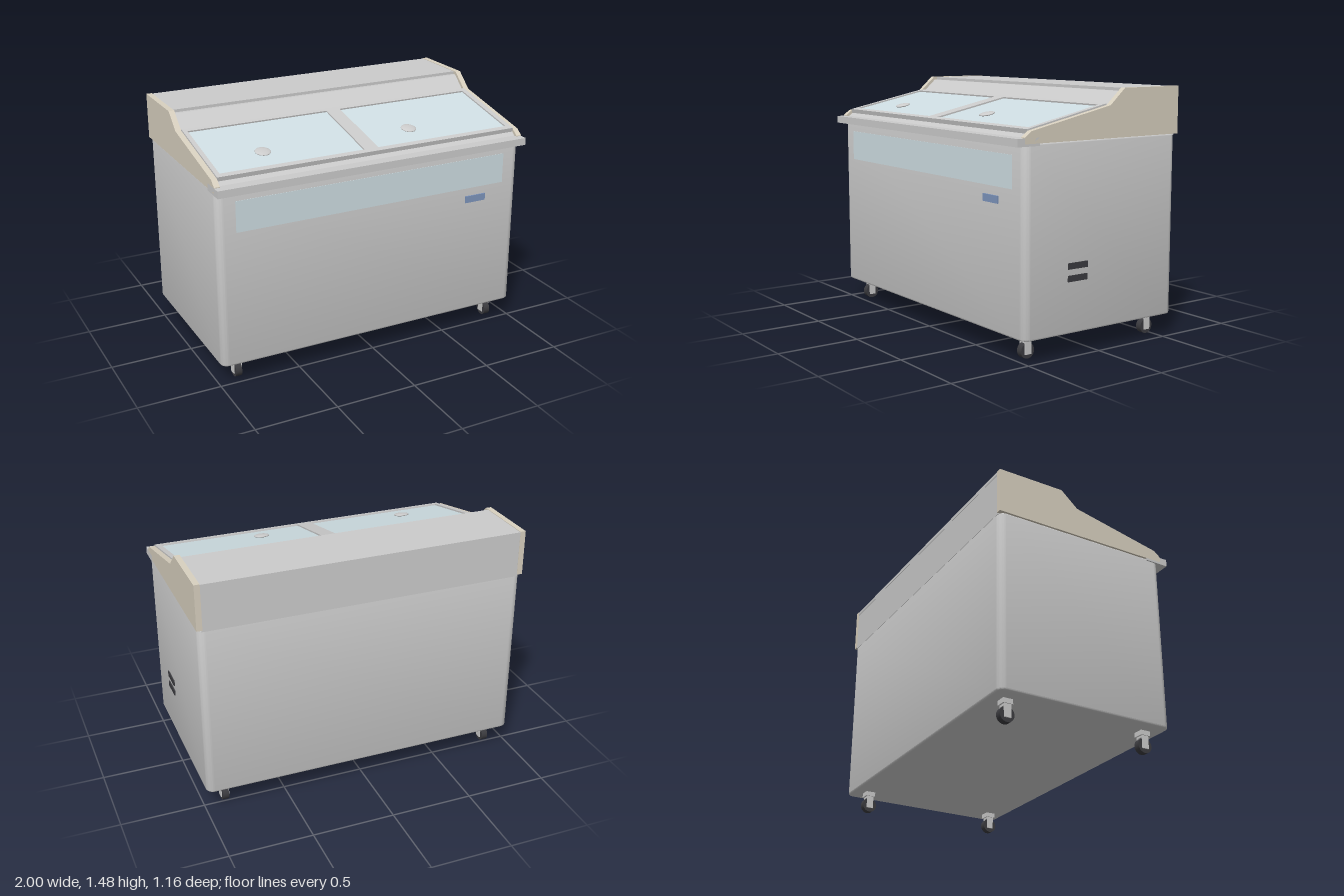
import * as THREE from 'three';
import { toCreasedNormals } from 'three/addons/utils/BufferGeometryUtils.js';

const mat = (color) => new THREE.MeshStandardMaterial({ color });

export function createModel() {
  const model = new THREE.Group();
  const steel = mat(0xcccccc);
  const beige = mat(0xd8d0bf);
  const glass = mat(0xcfdee3);
  const dark = mat(0x3c3c40);
  const blue = mat(0x7d95bd);

  const add = (parent, name, geometry, material, x = 0, y = 0, z = 0) => {
    const mesh = new THREE.Mesh(geometry, material);
    mesh.name = name;
    mesh.position.set(x, y, z);
    parent.add(mesh);
    return mesh;
  };
  // Box given by its ranges
  const box = (parent, name, material, x0, x1, y0, y1, z0, z1) =>
    add(parent, name, new THREE.BoxGeometry(x1 - x0, y1 - y0, z1 - z0), material,
      (x0 + x1) / 2, (y0 + y1) / 2, (z0 + z1) / 2);
  // Side profile of [z, y] points, extruded across x
  const acrossX = (points, width) => {
    const shape = new THREE.Shape(points.map(([z, y]) => new THREE.Vector2(z, y)));
    return new THREE.ExtrudeGeometry(shape, { depth: width, bevelEnabled: false })
      .translate(0, 0, -width / 2).rotateY(-Math.PI / 2);
  };
  const rect = (T, x0, x1, y0, y1) => new T([
    new THREE.Vector2(x0, y0), new THREE.Vector2(x1, y0),
    new THREE.Vector2(x1, y1), new THREE.Vector2(x0, y1)]);

  // Cabinet with rounded upright corners and a bevelled bottom edge
  const bevel = 0.01, w = 0.993 - bevel, d = 0.549 - bevel, r = 0.035;
  const plan = new THREE.Shape();
  plan.absarc(w - r, d - r, r, 0, Math.PI / 2);
  plan.absarc(-w + r, d - r, r, Math.PI / 2, Math.PI);
  plan.absarc(-w + r, -d + r, r, Math.PI, Math.PI * 1.5);
  plan.absarc(w - r, -d + r, r, Math.PI * 1.5, Math.PI * 2);
  const cabinet = new THREE.ExtrudeGeometry(plan, {
    depth: 1.07 - 2 * bevel, bevelThickness: bevel, bevelSize: bevel, bevelSegments: 3, curveSegments: 8,
  }).rotateX(-Math.PI / 2);
  add(model, 'cabinet', toCreasedNormals(cabinet, 0.6), steel, 0, 0.13 + bevel, -0.025);

  // Front window, badge and side vents
  box(model, 'frontWindow', glass, -0.88, 0.88, 0.95, 1.135, 0.51, 0.526);
  box(model, 'badge', blue, 0.615, 0.755, 0.857, 0.9, 0.51, 0.532);
  for (const y of [0.425, 0.495]) box(model, 'sideVent', dark, 0.98, 1, y, y + 0.035, 0.09, 0.227);

  // Hood between two slightly higher side panels
  add(model, 'hood', acrossX([
    [-0.576, 1.19], [0.525, 1.19], [0.525, 1.215], [0.485, 1.25],
    [-0.068, 1.364], [-0.17, 1.455], [-0.576, 1.455]], 1.94), steel);
  for (const side of [-1, 1]) {
    add(model, 'sidePanel', acrossX([
      [-0.578, 1.2], [0.53, 1.2], [0.53, 1.235], [0.49, 1.267],
      [-0.06, 1.382], [-0.165, 1.475], [-0.578, 1.475]], 0.034), beige, side * 0.983);
  }
  box(model, 'topPanel', steel, -0.966, 0.966, 1.45, 1.472, -0.578, -0.19);
  box(model, 'frontRail', steel, -1, 1, 1.187, 1.231, 0.43, 0.578);

  // Sloping lid frame with two glass panes and knobs
  const lid = new THREE.Group();
  lid.name = 'lid';
  lid.position.set(0, 1.327, 0.215);
  lid.rotation.x = Math.atan2(0.115, 0.55);
  model.add(lid);
  const panes = [[-0.938, -0.047], [0.042, 0.933]];
  const frame = rect(THREE.Shape, -0.965, 0.965, -0.28, 0.282);
  for (const [x0, x1] of panes) frame.holes.push(rect(THREE.Path, x0, x1, -0.245, 0.25));
  add(lid, 'lidFrame', new THREE.ExtrudeGeometry(frame, { depth: 0.026, bevelEnabled: false })
    .rotateX(-Math.PI / 2), steel, 0, -0.02, 0);
  for (const [x0, x1] of panes) box(lid, 'lidGlass', glass, x0, x1, -0.018, -0.003, -0.25, 0.245);
  for (const x of [-0.615, 0.335]) {
    add(lid, 'lidKnob', new THREE.SphereGeometry(0.047, 24, 12).scale(1, 0.2, 1), steel, x, 0.003, 0.088);
  }

  // Casters
  for (const x of [-0.87, 0.868]) {
    for (const z of [0.42, -0.47]) {
      const caster = new THREE.Group();
      caster.name = 'caster';
      caster.position.set(x, 0, z);
      model.add(caster);
      box(caster, 'casterPlate', steel, -0.031, 0.031, 0.102, 0.132, -0.03, 0.03);
      box(caster, 'forkBridge', steel, -0.026, 0.026, 0.09, 0.104, -0.021, 0.021);
      for (const s of [-1, 1]) {
        add(caster, 'forkArm', new THREE.BoxGeometry(0.006, 0.07, 0.042), steel, s * 0.023, 0.06, 0);
      }
      add(caster, 'wheel', new THREE.CylinderGeometry(0.045, 0.045, 0.038, 24)
        .rotateZ(Math.PI / 2), dark, 0, 0.045, 0);
    }
  }
  return model;
}
